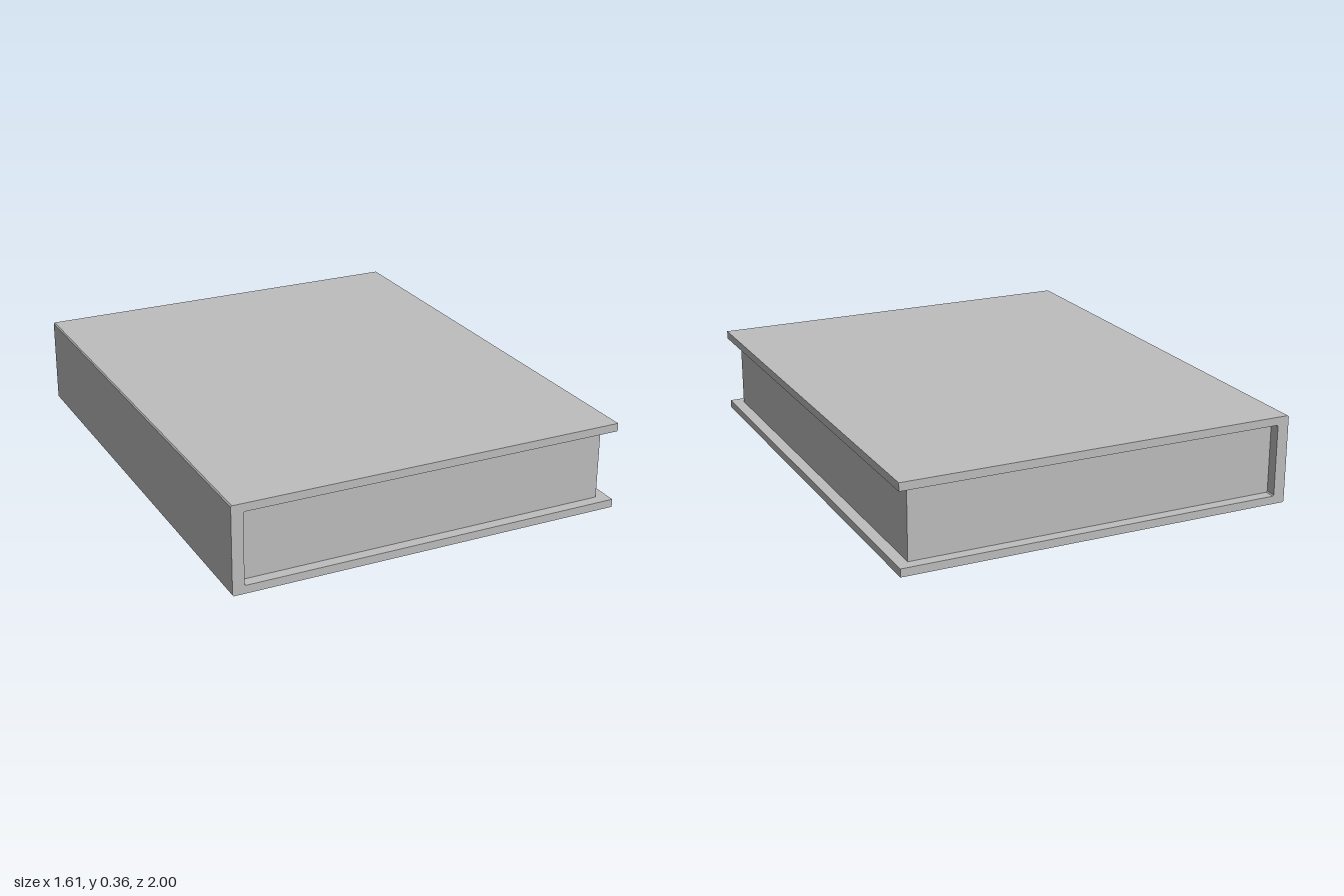
import * as THREE from 'three';

export function createModel() {
  const group = new THREE.Group();
  const grey = new THREE.MeshStandardMaterial({ color: 0xbebebe });
  grey.name = 'plain grey';

  const W = 0.807, H = 0.358, T = 0.033, inner = -0.76, c = 0.005;

  // Cover: two boards joined by a spine, one C-shaped section with tiny eased corners
  const section = new THREE.Shape([
    [-W + c, 0], [W, 0], [W, T], [inner + c, T], [inner, T + c],
    [inner, H - T - c], [inner + c, H - T], [W, H - T], [W, H],
    [-W + c, H], [-W, H - c], [-W, c],
  ].map(([x, y]) => new THREE.Vector2(x, y)));
  const coverGeometry = new THREE.ExtrudeGeometry(section, { depth: 2, bevelEnabled: false });
  coverGeometry.translate(0, 0, -1);
  const cover = new THREE.Mesh(coverGeometry, grey);
  cover.name = 'cover';

  // Page block, set back from the three open edges
  const pages = new THREE.Mesh(new THREE.BoxGeometry(1.52, H - 2 * T, 1.91), grey);
  pages.name = 'pages';
  pages.position.y = H / 2;

  group.add(cover, pages);
  return group;
}
